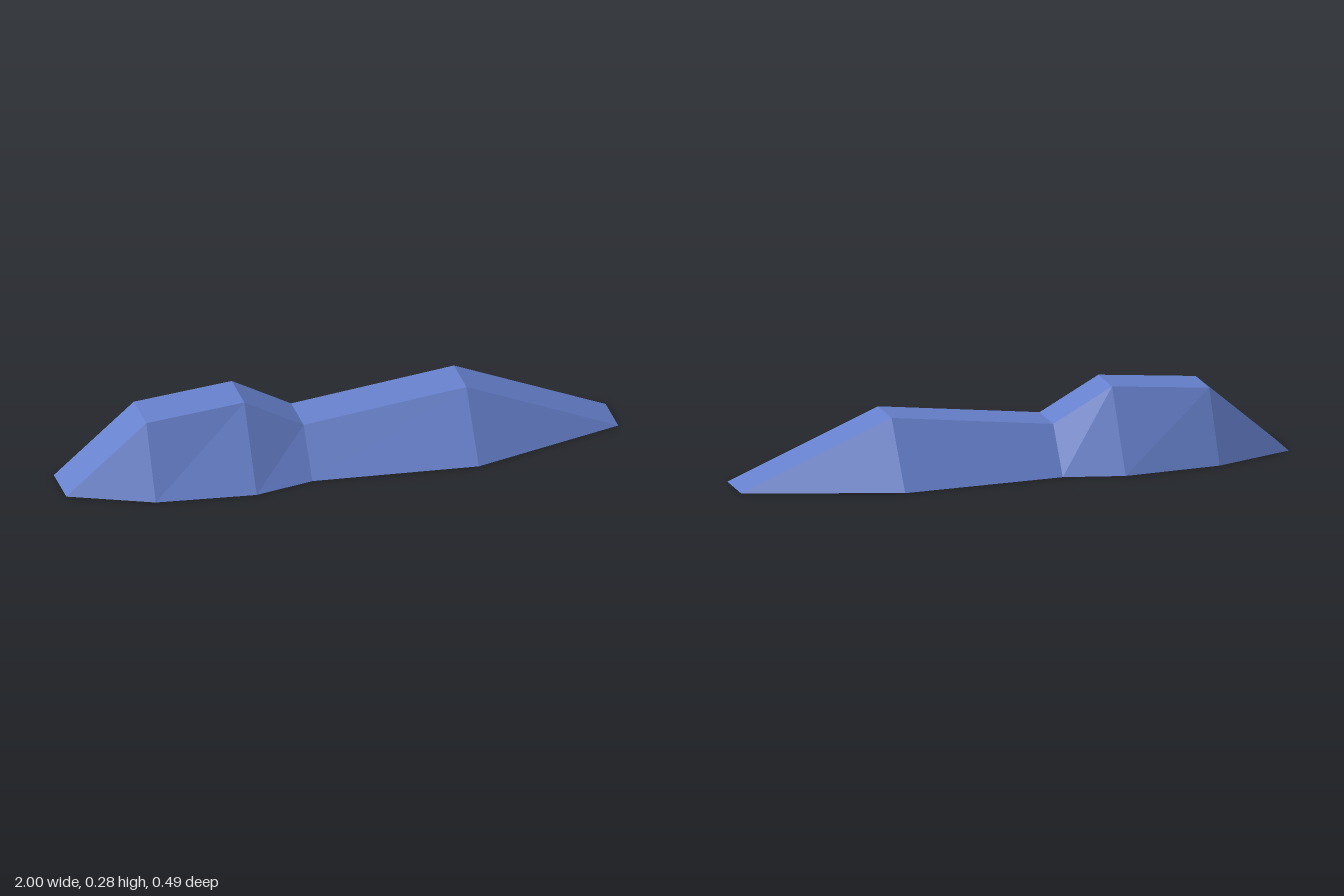
import * as THREE from 'three';

// Stations along the ridge: [x, crest height, half width at the base]
const STATIONS = [
  [-1, 0, 0.083],
  [-0.71, 0.25, 0.208],
  [-0.355, 0.282, 0.247],
  [-0.14, 0.163, 0.199],
  [0.45, 0.23, 0.247],
  [1, 0, 0.083],
];
const CREST = 0.083; // half width of the flat crest

// Open cross-section from the front foot over the crest to the back foot
function section([x, y, w]) {
  return [[w, 0], [CREST, y], [-CREST, y], [-w, 0]].map(([z, h]) => new THREE.Vector3(x, h, z));
}

// Joins neighbouring sections with flat faces, skipping the collapsed triangles at the tips
function ridgeGeometry() {
  const rings = STATIONS.map(section);
  const points = [];
  const addTriangle = (a, b, c) => {
    if (new THREE.Triangle(a, b, c).getArea() > 1e-6) points.push(a, b, c);
  };
  for (let i = 0; i < rings.length - 1; i++) {
    for (let j = 0; j < 3; j++) {
      const a = rings[i][j], b = rings[i + 1][j];
      const c = rings[i + 1][j + 1], d = rings[i][j + 1];
      addTriangle(a, b, c);
      addTriangle(a, c, d);
    }
  }
  const geometry = new THREE.BufferGeometry().setFromPoints(points);
  geometry.computeVertexNormals();
  return geometry;
}

export function createModel() {
  const blue = new THREE.MeshStandardMaterial({ color: 0x6680cc, flatShading: true, side: THREE.DoubleSide });
  blue.name = 'blue';

  // Hollow two-humped ridge, open underneath
  const ridge = new THREE.Mesh(ridgeGeometry(), blue);
  ridge.name = 'ridgeShell';

  const model = new THREE.Group();
  model.name = 'ridge';
  model.add(ridge);
  return model;
}
